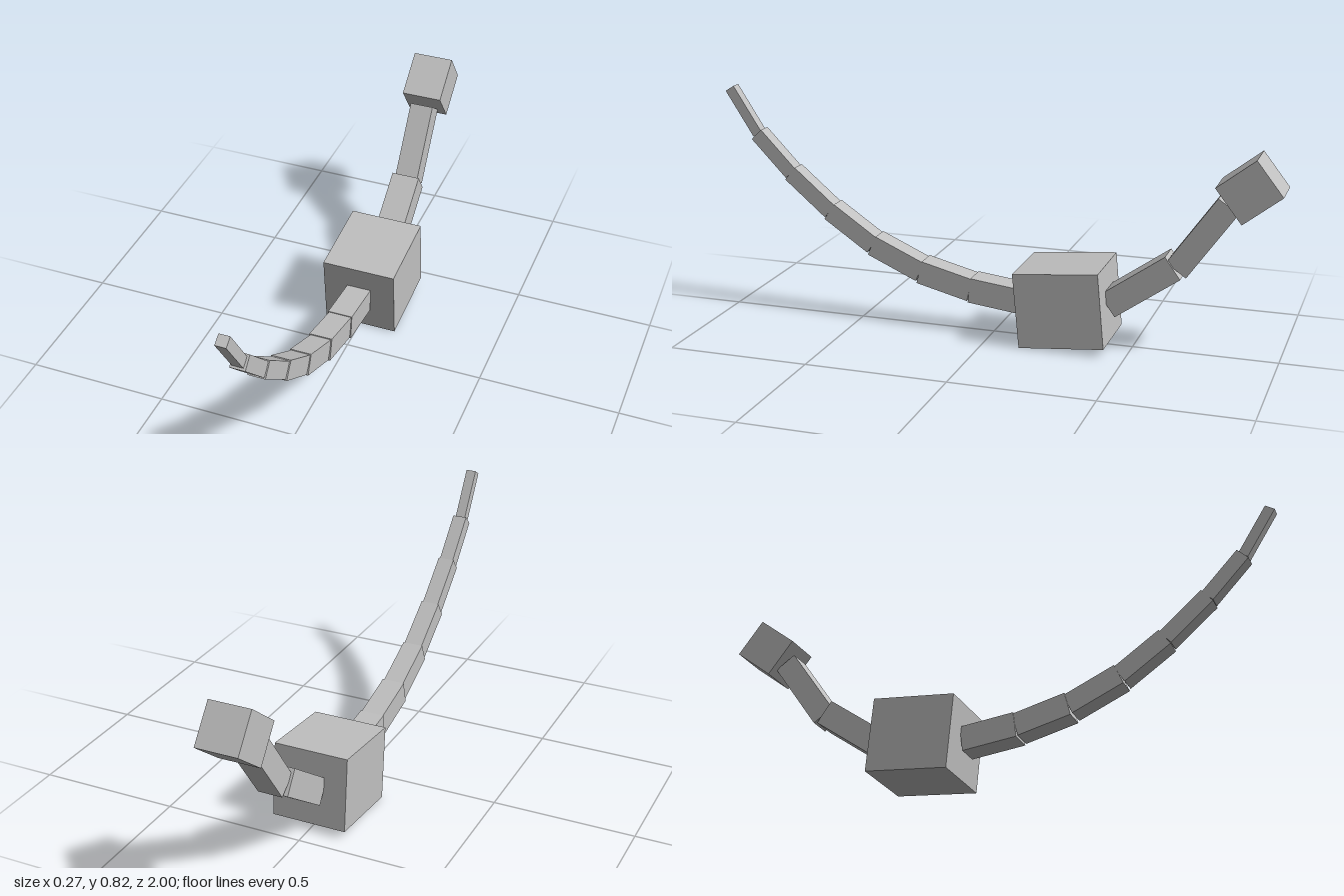
import * as THREE from 'three';

export function createModel() {
  const model = new THREE.Group();
  const grey = new THREE.MeshStandardMaterial({ color: 0xc0c0c0, flatShading: true });
  grey.name = 'plainGrey';

  // Box running between two [z, y] points on the centre plane
  function segment(name, from, to, width, height) {
    const dz = to[0] - from[0], dy = to[1] - from[1];
    const mesh = new THREE.Mesh(new THREE.BoxGeometry(width, height, Math.hypot(dz, dy)), grey);
    mesh.name = name;
    mesh.position.set(0, (from[1] + to[1]) / 2, (from[0] + to[0]) / 2);
    mesh.rotation.x = -Math.atan2(dy, dz);
    model.add(mesh);
  }

  // Body, neck and head
  segment('body', [-0.417, 0.166], [-0.119, 0.138], 0.267, 0.264);
  segment('lowerNeck', [-0.42, 0.163], [-0.64, 0.318], 0.104, 0.092);
  segment('upperNeck', [-0.65, 0.31], [-0.816, 0.545], 0.086, 0.084);
  segment('head', [-0.82, 0.553], [-0.951, 0.655], 0.147, 0.148);

  // Tail curving up and forward, each piece slimmer than the last
  const joints = [
    [-0.116, 0.14], [0.078, 0.163], [0.265, 0.21], [0.445, 0.29],
    [0.607, 0.4], [0.757, 0.527], [0.885, 0.66], [0.987, 0.82],
  ];
  const widths = [0.089, 0.083, 0.075, 0.068, 0.06, 0.052, 0.037];
  widths.forEach((w, i) => segment(`tail${i + 1}`, joints[i], joints[i + 1], w, w));

  return model;
}
